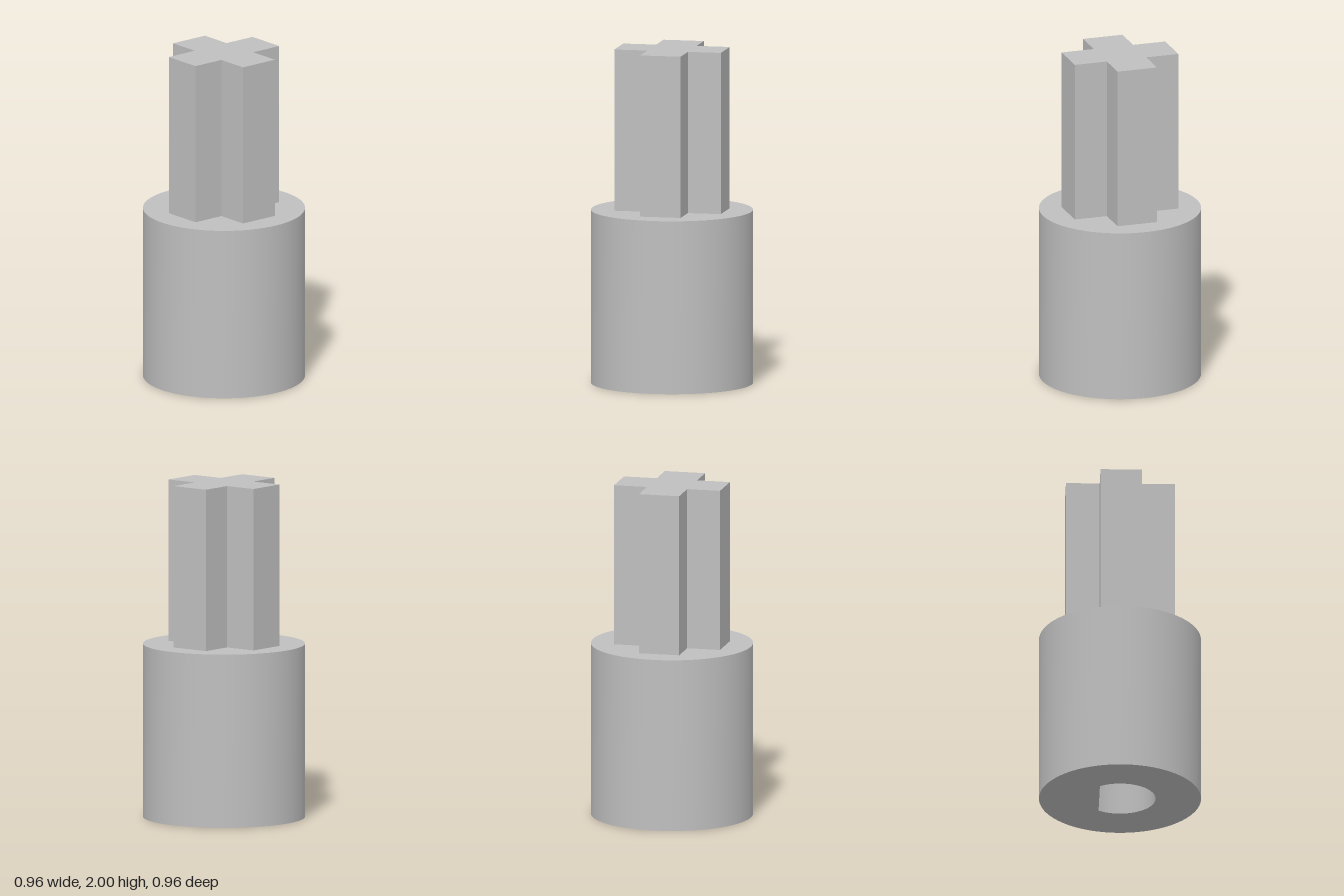
import * as THREE from 'three';
import { toCreasedNormals } from 'three/addons/utils/BufferGeometryUtils.js';

const BASE_R = 0.48, BASE_H = 1.035, TOP = 2;
const ARM = 0.323, HALF = 0.123;          // cross arm reach and half width
const BORE_R = 0.211, FLAT = 0.123, BORE_H = 0.9;

// Outline points run anticlockwise seen from above, in (x, -z).
function arc(radius, from, to, n) {
  return Array.from({ length: n + 1 }, (_, i) => {
    const a = from + (to - from) * i / n;
    return new THREE.Vector2(radius * Math.cos(a), radius * Math.sin(a));
  });
}

function crossOutline() {
  const points = [];
  for (let q = 0; q < 4; q++) {
    for (const [x, y] of [[ARM, -HALF], [ARM, HALF], [HALF, HALF]]) {
      points.push(new THREE.Vector2(x, y).rotateAround(new THREE.Vector2(), q * Math.PI / 2));
    }
  }
  return points;
}

// Upright wall following a closed outline; reversed points make it face inward.
function wall(points, y0, y1) {
  const n = points.length;
  const geometry = new THREE.PlaneGeometry(1, 1, n, 1);
  const pos = geometry.attributes.position;
  for (let i = 0; i <= n; i++) {
    const p = points[i % n];
    pos.setXYZ(i, p.x, y1, -p.y);
    pos.setXYZ(i + n + 1, p.x, y0, -p.y);
  }
  return toCreasedNormals(geometry, Math.PI / 6);
}

// Flat face at height y, facing up or down (outlines are symmetric in z).
function cap(points, y, up, hole) {
  const shape = new THREE.Shape(points);
  if (hole) shape.holes.push(new THREE.Path(hole));
  return new THREE.ShapeGeometry(shape).rotateX(up ? -Math.PI / 2 : Math.PI / 2).translate(0, y, 0);
}

export function createModel() {
  const model = new THREE.Group();
  model.name = 'shaftAdapter';
  const grey = new THREE.MeshStandardMaterial({ color: 0xbfbfbf });
  grey.name = 'grey';

  function part(name, surfaces) {
    const group = new THREE.Group();
    group.name = name;
    for (const [label, geometry] of Object.entries(surfaces)) {
      const mesh = new THREE.Mesh(geometry, grey);
      mesh.name = label;
      group.add(mesh);
    }
    model.add(group);
  }

  const circle = arc(BASE_R, 0, Math.PI * 2, 96).slice(0, -1);
  const cross = crossOutline();
  const end = Math.PI - Math.acos(FLAT / BORE_R);
  const bore = arc(BORE_R, -end, end, 48);   // D shape, flat on the -x side

  // Round socket body
  part('base', {
    baseSide: wall(circle, 0, BASE_H),
    baseTop: cap(circle, BASE_H, true, cross),
    baseBottom: cap(circle, 0, false, bore),
  });

  // Blind D-shaped hole in the underside
  part('shaftBore', {
    boreWall: wall([...bore].reverse(), 0, BORE_H),
    boreEnd: cap(bore, BORE_H, false),
  });

  // Cross-shaped axle
  part('crossAxle', {
    axleSides: wall(cross, BASE_H, TOP),
    axleTop: cap(cross, TOP, true),
  });

  return model;
}
